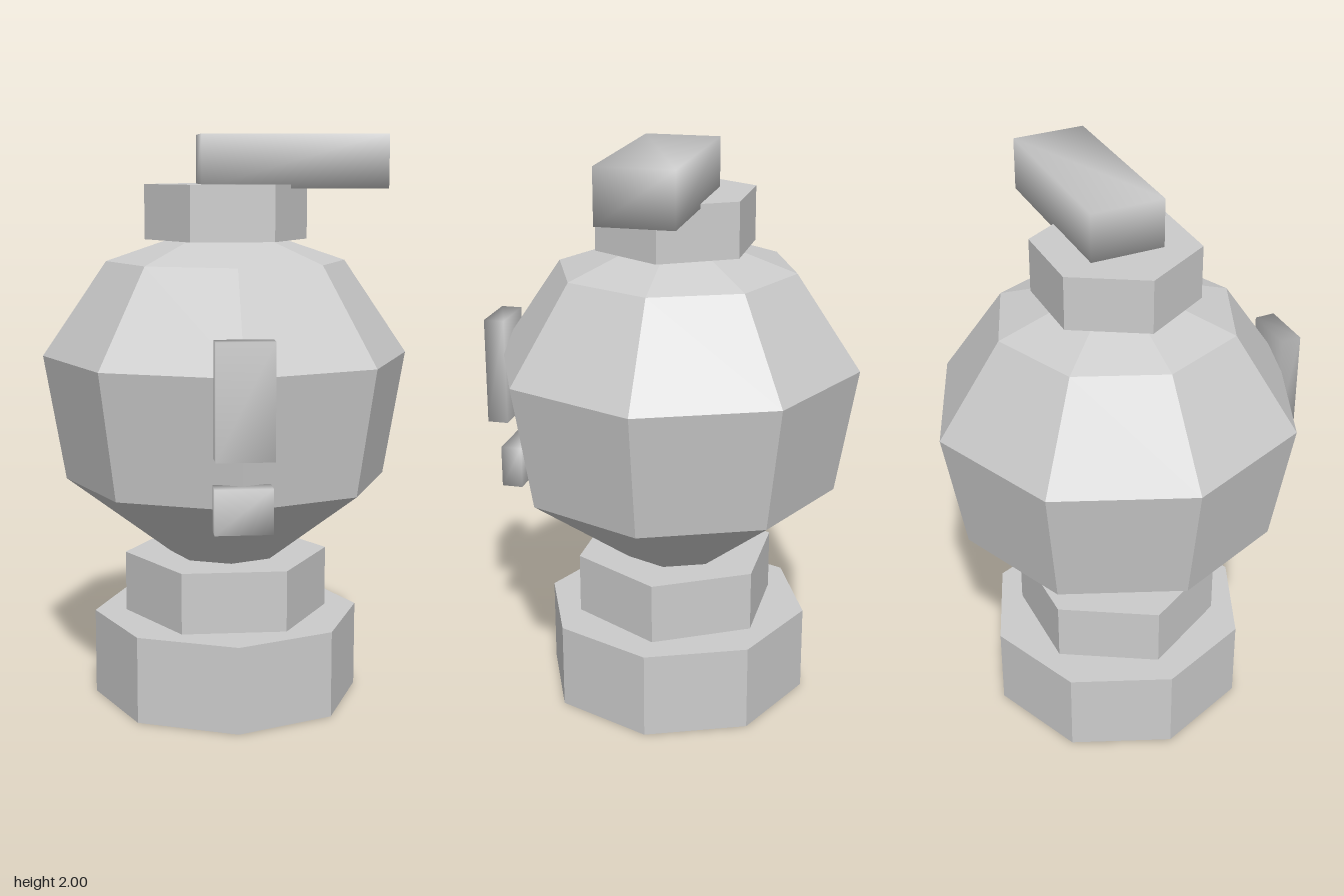
import * as THREE from 'three';
import { mergeVertices } from 'three/addons/utils/BufferGeometryUtils.js';

const AXIS_Z = -0.015; // the turned parts share this axis

export function createModel() {
  const group = new THREE.Group();
  const flat = new THREE.MeshStandardMaterial({ color: 0xcccccc, flatShading: true });
  const smooth = new THREE.MeshStandardMaterial({ color: 0xcccccc });

  function add(name, geometry, material) {
    const mesh = new THREE.Mesh(geometry, material);
    mesh.name = name;
    group.add(mesh);
    return mesh;
  }

  // Upright prism with one corner on the +x axis
  function prism(name, sides, radius, y0, y1) {
    const geometry = new THREE.CylinderGeometry(radius, radius, y1 - y0, sides);
    geometry.rotateY(Math.PI / 2);
    add(name, geometry, flat).position.set(0, (y0 + y1) / 2, AXIS_Z);
  }

  // Box whose corners share normals, so it shades softly
  function softBox(name, [x0, x1], [y0, y1], [z0, z1]) {
    let geometry = new THREE.BoxGeometry(x1 - x0, y1 - y0, z1 - z0);
    geometry.deleteAttribute('normal');
    geometry.deleteAttribute('uv');
    geometry = mergeVertices(geometry);
    geometry.computeVertexNormals();
    add(name, geometry, smooth).position.set((x0 + x1) / 2, (y0 + y1) / 2, (z0 + z1) / 2);
  }

  // Stepped foot
  prism('base', 8, 0.475, 0, 0.305);
  prism('neck', 6, 0.363, 0.305, 0.52);

  // Eight-sided globe
  const profile = [
    [0, 0.52], [0.2, 0.52], [0.57, 0.795], [0.645, 1.235], [0.42, 1.565], [0.2, 1.64], [0, 1.64],
  ].map(([r, y]) => new THREE.Vector2(r, y));
  add('globe', new THREE.LatheGeometry(profile, 8), flat).position.z = AXIS_Z;

  // Cap with its sideways handle
  prism('cap', 6, 0.285, 1.64, 1.83);
  softBox('handle', [-0.095, 0.55], [1.815, 2], [-0.145, 0.115]);

  // Front plates
  softBox('upperPlate', [-0.095, 0.095], [0.975, 1.355], [0.587, 0.66]);
  softBox('lowerPlate', [-0.095, 0.095], [0.73, 0.88], [0.54, 0.615]);

  return group;
}
